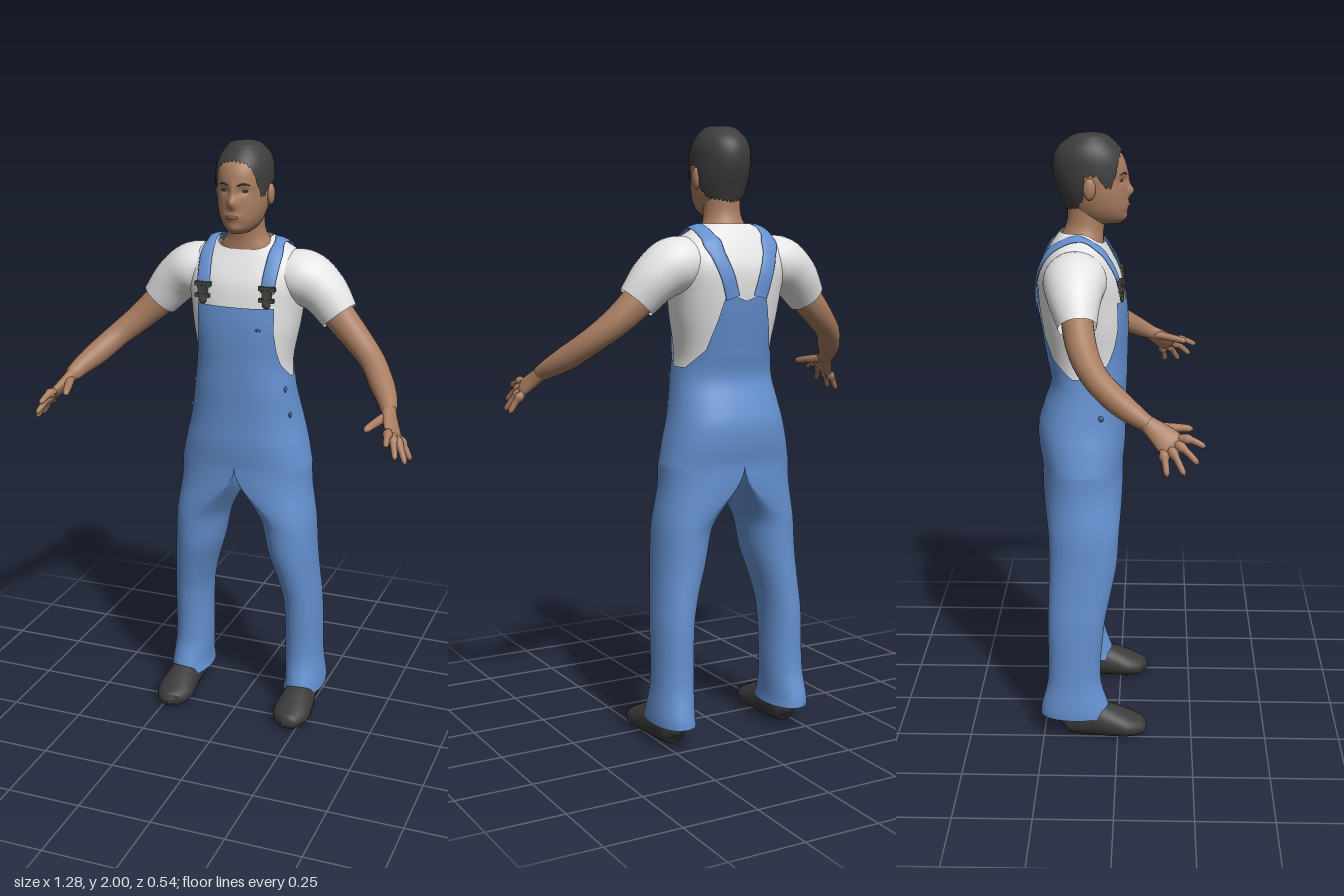
import * as THREE from 'three';
import { mergeGeometries, mergeVertices } from 'three/addons/utils/BufferGeometryUtils.js';

const DEG = Math.PI / 180;
const COLS = 120;

// Smooth sampling of a profile: rows of [y, halfWidth, zFront, zBack, centreX]
function sample(P, y) {
  const n = P.length - 1;
  y = Math.min(Math.max(y, P[0][0]), P[n][0]);
  let i = 0;
  while (i < n - 1 && y > P[i + 1][0]) i++;
  const h = P[i + 1][0] - P[i][0], t = (y - P[i][0]) / h;
  const slope = (k, c) => {
    const a = P[Math.max(k - 1, 0)], b = P[Math.min(k + 1, n)];
    return ((b[c] || 0) - (a[c] || 0)) / (b[0] - a[0]);
  };
  return [1, 2, 3, 4].map(c => {
    const a = P[i][c] || 0, b = P[i + 1][c] || 0, t2 = t * t, t3 = t2 * t;
    return (2 * t3 - 3 * t2 + 1) * a + (t3 - 2 * t2 + t) * h * slope(i, c)
      + (3 * t2 - 2 * t3) * b + (t3 - t2) * h * slope(i + 1, c);
  });
}

// Point on a profile's surface; angle 0 is the front, 90 degrees is +x
function at(P, y, a, off = 0, p = 1, s = 1) {
  const [w, f, b, cx] = sample(P, y);
  const bend = v => Math.sign(v) * Math.pow(Math.abs(v), p);
  return new THREE.Vector3(s * cx + (w + off) * bend(Math.sin(a)), y,
    (f + b) / 2 + ((f - b) / 2 + off) * bend(Math.cos(a)));
}

// Surface from closed rings
function grid(rows, cols, point) {
  const pos = [], idx = [];
  for (let i = 0; i <= rows; i++) for (let j = 0; j < cols; j++) {
    const v = point(i / rows, (j / cols) * Math.PI * 2, j);
    pos.push(v.x, v.y, v.z);
    if (i === rows) continue;
    const a = i * cols + j, b = i * cols + (j + 1) % cols;
    idx.push(a, b, b + cols, a, b + cols, a + cols);
  }
  const g = new THREE.BufferGeometry();
  g.setAttribute('position', new THREE.Float32BufferAttribute(pos, 3));
  g.setIndex(idx);
  g.computeVertexNormals();
  return g;
}

// Swept elliptical tube through [x, y, z, ra, rb]; ref is the direction of ra; s = -1 mirrors it
function limb(points, ref, s = 1, rows = 32, cols = 20) {
  const path = new THREE.CatmullRomCurve3(points.map(q => new THREE.Vector3(s * q[0], q[1], q[2])));
  const radii = new THREE.CatmullRomCurve3(points.map(q => new THREE.Vector3(q[3], q[4] ?? q[3], 0)));
  const r0 = new THREE.Vector3(s * ref[0], ref[1], ref[2]);
  return grid(rows, cols, (t, a) => {
    const c = path.getPoint(t), d = path.getTangent(t), r = radii.getPoint(t);
    const u = r0.clone().addScaledVector(d, -r0.dot(d)).normalize();
    const v = d.clone().cross(u);
    return c.addScaledVector(u, r.x * Math.cos(a)).addScaledVector(v, r.y * Math.sin(a));
  });
}

// Straight-line lookup in [degrees, y] pairs, the same on both sides
function edge(table, a) {
  let d = a / DEG;
  if (d > 180) d = 360 - d;
  let i = 0;
  while (i < table.length - 2 && d > table[i + 1][0]) i++;
  const [p, q] = [table[i], table[i + 1]];
  return THREE.MathUtils.lerp(p[1], q[1], (d - p[0]) / (q[0] - p[0]));
}

const TORSO = [
  [0.92, 0.222, 0.008, -0.25], [1.0, 0.205, 0.015, -0.262], [1.06, 0.19, 0.015, -0.262],
  [1.12, 0.178, 0.016, -0.245], [1.2, 0.165, 0.02, -0.22], [1.28, 0.158, 0.022, -0.232],
  [1.4, 0.178, 0.024, -0.252], [1.48, 0.19, 0.018, -0.262], [1.55, 0.205, 0.005, -0.262],
  [1.6, 0.205, -0.018, -0.245], [1.64, 0.17, -0.04, -0.225], [1.67, 0.12, -0.055, -0.205],
  [1.69, 0.08, -0.062, -0.19]];
const LEG = [
  [0.075, 0.07, -0.022, -0.262, 0.215], [0.1, 0.068, -0.03, -0.26, 0.217], [0.2, 0.065, -0.058, -0.237, 0.21],
  [0.4, 0.065, -0.045, -0.235, 0.205], [0.5, 0.071, -0.025, -0.232, 0.191], [0.6, 0.083, -0.005, -0.23, 0.172],
  [0.7, 0.091, 0.002, -0.232, 0.159], [0.8, 0.102, 0.008, -0.24, 0.142], [0.92, 0.114, 0.012, -0.254, 0.114]];
const HEAD = [
  [1.715, 0.03, 0.005, -0.13], [1.73, 0.05, 0.018, -0.145], [1.76, 0.068, 0.026, -0.16],
  [1.8, 0.079, 0.026, -0.175], [1.84, 0.083, 0.024, -0.19], [1.88, 0.084, 0.025, -0.2],
  [1.92, 0.081, 0.015, -0.198], [1.95, 0.07, -0.008, -0.182], [1.975, 0.048, -0.036, -0.148],
  [1.985, 0.031, -0.057, -0.123], [1.99, 0.002, -0.086, -0.09]];
const NECK = [
  [1.58, 0.12, -0.045, -0.21], [1.66, 0.09, -0.05, -0.192], [1.69, 0.069, -0.05, -0.18],
  [1.72, 0.061, -0.045, -0.168], [1.78, 0.058, -0.04, -0.165]];
const BIB = [[0, 1.48], [39, 1.48], [42, 1.4], [50, 1.335], [61, 1.285], [85, 1.237], [108, 1.237],
  [138, 1.295], [152, 1.38], [163, 1.48], [180, 1.45]];
const HAIRLINE = [[0, 1.943], [25, 1.937], [40, 1.915], [50, 1.87], [60, 1.83], [70, 1.835], [80, 1.87],
  [98, 1.87], [108, 1.8], [125, 1.768], [180, 1.755]];
const SQ = 0.85;

// z of the torso's front or back at a given x and y
function torsoZ(x, y, back) {
  const sin = Math.pow(Math.min(x / sample(TORSO, y)[0], 1), 1 / SQ);
  return at(TORSO, y, back ? Math.PI - Math.asin(sin) : Math.asin(sin), 0, SQ).z;
}

// Nose, eye sockets, lips and chin pushed out of the head
function face(v) {
  if (v.z < -0.04) return v;
  const g = (x, y, sx, sy) => Math.exp(-(((v.x - x) / sx) ** 2) - ((v.y - y) / sy) ** 2);
  v.z += 0.018 * g(0, 1.816, 0.015, 0.018) + 0.008 * g(0, 1.845, 0.01, 0.03)
    - 0.007 * (g(0.033, 1.853, 0.018, 0.012) + g(-0.033, 1.853, 0.018, 0.012))
    + 0.006 * g(0, 1.772, 0.026, 0.012) + 0.005 * g(0, 1.733, 0.03, 0.014);
  return v;
}

export function createModel() {
  const model = new THREE.Group();
  const mat = (name, color) => {
    const m = new THREE.MeshStandardMaterial({ color, side: THREE.DoubleSide });
    m.name = name;
    return m;
  };
  const skin = mat('skin', 0xa87c60), shirt = mat('whiteCotton', 0xe4e4e4), denim = mat('blueDenim', 0x6490cf),
    hair = mat('darkHair', 0x3d3d3d), leather = mat('darkLeather', 0x3a3a3a), metal = mat('darkMetal', 0x45453f),
    stud = mat('deepBlue', 0x3d5f94), lip = mat('lip', 0x8c5f4c);
  const add = (name, geometry, material) => {
    const m = new THREE.Mesh(geometry, material);
    m.name = name;
    model.add(m);
    return m;
  };
  const blob = (name, material, p, r) => {
    const m = add(name, new THREE.SphereGeometry(1, 20, 14), material);
    m.position.set(...p);
    m.scale.set(...r);
    return m;
  };

  // Shirt body with a scooped collar
  add('shirtBody', grid(40, COLS, (t, a) => {
    const top = 1.69 - 0.035 * Math.max(0, Math.cos(a)) ** 2;
    return at(TORSO, THREE.MathUtils.lerp(1.2, top, t), a, 0, SQ);
  }), shirt);

  // Overalls: bib and seat welded to two legs that part at the crotch
  const parts = [grid(48, COLS, (t, a) =>
    at(TORSO, THREE.MathUtils.lerp(0.92, edge(BIB, a), t), a, 0.006, SQ))];
  for (const s of [1, -1]) parts.push(grid(50, COLS, (t, a) => {
    const y = THREE.MathUtils.lerp(0.075, 0.92, t);
    const half = at(TORSO, 0.92, a, 0.006, SQ);
    half.x = s * Math.max(0, s * half.x);
    half.y = y;
    return at(LEG, y, a, 0, 0.95, s).lerp(half, THREE.MathUtils.smoothstep(y, 0.7, 0.92));
  }));
  parts.forEach(g => g.deleteAttribute('normal'));
  const overalls = mergeVertices(mergeGeometries(parts), 1e-4);
  overalls.computeVertexNormals();
  add('overalls', overalls, denim);

  // Head, neck and hair
  add('head', grid(64, COLS, (t, a) => face(at(HEAD, THREE.MathUtils.lerp(1.715, 1.99, t), a))), skin);
  add('neck', grid(16, 40, (t, a) => at(NECK, THREE.MathUtils.lerp(1.58, 1.78, t), a)), skin);
  const hairShape = HEAD.map(([y, w, f, b]) => {
    const o = y > 1.988 ? 0 : 0.008;
    return [y + 0.01 * Math.max(0, (y - 1.9) / 0.09), w + o, f + o, b - o - 0.003];
  });
  add('hair', grid(36, COLS, (t, a, j) => {
    const low = edge(HAIRLINE, a) + (j % 3 === 0 ? 0.006 : 0);
    return at(hairShape, THREE.MathUtils.lerp(low, 2, Math.sin(t * Math.PI / 2)), a);
  }), hair);
  blob('lips', lip, [0, 1.772, 0.0295], [0.021, 0.006, 0.006]);

  for (const s of [1, -1]) {
    const side = s > 0 ? 'left' : 'right';
    const limbMesh = (name, pts, ref, m, rows, cols) => add(side + name, limb(pts, ref, s, rows, cols), m);

    // Face details
    blob(side + 'Ear', skin, [s * 0.087, 1.832, -0.092], [0.012, 0.034, 0.02]);
    blob(side + 'Eye', hair, [s * 0.033, 1.853, 0.006], [0.012, 0.004, 0.006]);
    limbMesh('Brow', [[0.014, 1.87, 0.023, 0.002], [0.032, 1.876, 0.017, 0.003], [0.052, 1.871, 0.002, 0.001]],
      [0, 1, 0], hair, 12, 8);

    // Sleeve and arm
    limbMesh('Sleeve', [[0.1, 1.57, -0.128, 0.072, 0.085], [0.19, 1.56, -0.134, 0.09, 0.1],
      [0.255, 1.52, -0.132, 0.08, 0.084], [0.317, 1.447, -0.12, 0.065, 0.06]], [1, 1, 0], shirt, 32, 32);
    limbMesh('Arm', [[0.27, 1.5, -0.125, 0.055, 0.05], [0.32, 1.442, -0.118, 0.053, 0.049],
      [0.385, 1.38, -0.098, 0.046], [0.447, 1.325, -0.06, 0.041], [0.495, 1.275, 0, 0.04],
      [0.53, 1.24, 0.055, 0.033], [0.55, 1.215, 0.1, 0.026, 0.024]], [1, 1, 0], skin, 40, 24);

    // Hand: palm, four fingers and a thumb
    const spread = [0.35, -0.52, -0.78];
    limbMesh('Palm', [[0.545, 1.222, 0.09, 0.024, 0.022], [0.56, 1.197, 0.125, 0.034, 0.02],
      [0.582, 1.167, 0.165, 0.042, 0.016], [0.592, 1.152, 0.184, 0.01, 0.004]], spread, skin);
    const tips = [[0.585, 1.16, 0.267], [0.611, 1.115, 0.247], [0.634, 1.088, 0.206], [0.638, 1.085, 0.155]];
    tips.forEach((tip, i) => {
      const k = -0.03 + i * 0.02;
      const base = [0.582, 1.167, 0.165].map((v, c) => v + spread[c] * k);
      const along = (f, r, lift = 0) => [...base.map((v, c) => v + (tip[c] - v) * f + (c === 1 ? lift : 0)), r];
      limbMesh('Finger' + (i + 1), [along(0, 0.011), along(0.45, 0.011, 0.006), along(0.9, 0.009, 0.001),
        along(1, 0.002)], spread, skin, 14, 10);
    });
    limbMesh('Thumb', [[0.548, 1.207, 0.115, 0.016], [0.528, 1.2, 0.17, 0.014], [0.512, 1.192, 0.22, 0.011],
      [0.508, 1.188, 0.232, 0.002]], [1, 0, 0], skin, 16, 12);

    // Shoe with a flat sole
    const shoe = limb([[0.215, 0.028, 0.098, 0.006], [0.218, 0.03, 0.082, 0.042, 0.028],
      [0.22, 0.038, 0.03, 0.065, 0.042], [0.22, 0.05, -0.03, 0.061, 0.055], [0.218, 0.06, -0.1, 0.052, 0.065],
      [0.216, 0.055, -0.175, 0.045, 0.055], [0.216, 0.045, -0.202, 0.006]], [1, 0, 0], s, 36, 28);
    const p = shoe.attributes.position;
    for (let i = 0; i < p.count; i++) p.setY(i, Math.max(p.getY(i), 0));
    shoe.computeVertexNormals();
    add(side + 'Shoe', shoe, leather);

    // Strap over the shoulder, narrowing to the middle of the back
    const front = [[0.11, 1.53], [0.112, 1.57], [0.115, 1.61], [0.117, 1.645]]
      .map(([x, y]) => [x, y, torsoZ(x, y, false) + 0.008, 0.023, 0.005]);
    const back = [[0.108, 1.645], [0.092, 1.59], [0.071, 1.53], [0.05, 1.46]]
      .map(([x, y]) => [x, y, torsoZ(x, y, true) - 0.007, 0.025, 0.005]);
    limbMesh('Strap', [...front, [0.114, 1.682, -0.125, 0.023, 0.005], ...back], [1, -0.3, 0], denim, 60, 12);

    // Buckle: bar, hook and button
    const bz = y => torsoZ(0.11, y, false) + 0.012;
    for (const [name, w, h, y] of [['BuckleBar', 0.056, 0.014, 1.545], ['BuckleHook', 0.03, 0.03, 1.526],
      ['BuckleBase', 0.05, 0.012, 1.508]]) {
      add(side + name, new THREE.BoxGeometry(w, h, 0.014), metal).position.set(s * 0.11, y, bz(y));
    }
    blob(side + 'BuckleButton', metal, [s * 0.11, 1.494, bz(1.494)], [0.014, 0.014, 0.007]);

    // Hip buttons
    for (const y of [1.2, 1.11]) {
      const q = at(TORSO, y, 68 * DEG, 0.006, SQ);
      blob(side + 'HipButton', stud, [s * q.x, y, q.z], [0.005, 0.01, 0.01]);
    }
  }

  // Small stud on the bib
  blob('bibStud', stud, [0.085, 1.41, torsoZ(0.085, 1.41, false) + 0.007], [0.009, 0.005, 0.004]);
  return model;
}
